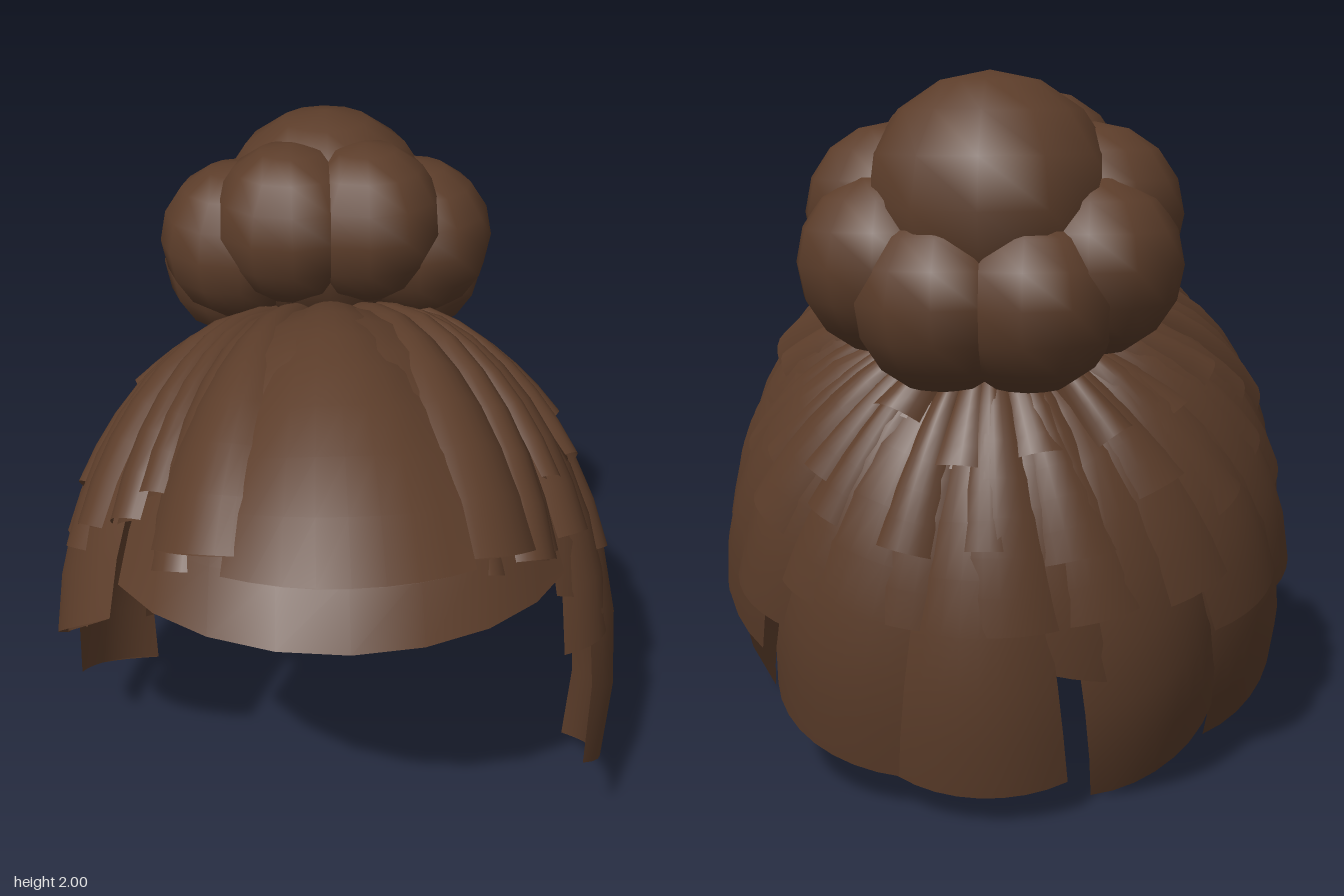
import * as THREE from 'three';
import { toCreasedNormals } from 'three/addons/utils/BufferGeometryUtils.js';

const rad = THREE.MathUtils.degToRad;
const lerp = THREE.MathUtils.lerp;

// the head the hair lies on, and the point every lock is gathered to
const HEAD = new THREE.Vector3(0, 0.5, 0);
const SIZE = new THREE.Vector3(0.86, 1.04, 0.93);
const ROOT = new THREE.Vector3(0, 1.35, -0.5).sub(HEAD).divide(SIZE);

const material = new THREE.MeshStandardMaterial({ color: 0x5c3d2a, side: THREE.DoubleSide });

// natural distance from the vertical axis at height y, in head units
const reach = (y, flare) => Math.sqrt(1 - ((y - HEAD.y) / SIZE.y) ** 2) * flare;

// point on the arc over the head from the root to a tip, flaring near the tip
function along(tip, t, lift) {
  const a = ROOT.clone().normalize();
  const b = tip.clone().normalize();
  const w = a.angleTo(b);
  const length = lerp(ROOT.length(), tip.length(), t ** 3) + lift;
  return a.multiplyScalar(Math.sin((1 - t) * w)).add(b.multiplyScalar(Math.sin(t * w)))
    .multiplyScalar(length / Math.sin(w)).multiply(SIZE).add(HEAD);
}

// a lens-section lock; its tip runs from corner A to B, each [azimuth in degrees, y, reach]
function lock(name, A, B, bulge, lift = 0) {
  const across = 8, down = 9, ring = across * 2;
  const positions = [], index = [];
  for (let j = 0; j <= down; j++) {
    const t = lerp(0.06, 1, j / down);
    for (let i = 0; i < ring; i++) {
      const outer = i <= across;
      const u = (outer ? i : ring - i) / across;
      const y = lerp(A[1], B[1], u);
      const az = rad(lerp(A[0], B[0], u));
      const r = lerp(A[2], B[2], u);
      const tip = new THREE.Vector3(Math.sin(az) * r, (y - HEAD.y) / SIZE.y, Math.cos(az) * r);
      const crown = 4 * u * (1 - u) * Math.min(1, t * 2.5);
      const p = along(tip, t, lift + crown * (outer ? bulge : bulge * 0.25) - bulge * 0.5);
      positions.push(p.x, p.y, p.z);
    }
  }
  for (let j = 0; j < down; j++) {
    for (let i = 0; i < ring; i++) {
      const a = j * ring + i, b = j * ring + (i + 1) % ring;
      index.push(a, a + ring, b, b, a + ring, b + ring);
    }
  }
  const geometry = new THREE.BufferGeometry();
  geometry.setAttribute('position', new THREE.Float32BufferAttribute(positions, 3));
  geometry.setIndex(index);
  const mesh = new THREE.Mesh(toCreasedNormals(geometry, 0.8), material);
  mesh.name = name;
  return mesh;
}

function ball(name, radius, x, y, z) {
  const mesh = new THREE.Mesh(new THREE.SphereGeometry(radius, 12, 8), material);
  mesh.name = name;
  mesh.position.set(x, y, z);
  return mesh;
}

// bun: a large ball in a tilted ring of eight smaller ones
function createBun() {
  const bun = new THREE.Group();
  bun.name = 'bun';
  bun.add(ball('bunCore', 0.355, 0, 1.645, -0.55));
  for (let i = 0; i < 8; i++) {
    const a = rad(22.5 + i * 45);
    const s = Math.sin(a);
    bun.add(ball('bunCurl', 0.25, Math.cos(a) * 0.3, 1.55 + s * 0.165, -0.535 + s * 0.175));
  }
  return bun;
}

// layered locks around the sides and back, tips higher toward the front
function createLayers() {
  const layers = new THREE.Group();
  layers.name = 'layers';
  let seed = 7;
  const jitter = () => (seed = (seed * 16807) % 2147483647) / 2147483647 - 0.5;
  const specs = [
    { name: 'lowerLayerLock', from: 64, step: 20, width: 25, y: 0.5, rise: 0.42, flare: 0.98, lift: 0.0 },
    { name: 'middleLayerLock', from: 46, step: 17, width: 17, y: 0.8, rise: 0.28, flare: 0.985, lift: 0.005 },
    { name: 'upperLayerLock', from: 32, step: 16, width: 14, y: 1.03, rise: 0.14, flare: 0.99, lift: 0.01 },
  ];
  for (const s of specs) {
    for (let az = s.from; az <= 360 - s.from; az += s.step) {
      const front = Math.max(0, Math.cos(rad(az)) + 0.25);
      const y = s.y + s.rise * front + jitter() * 0.24;
      const r = reach(y, s.flare + 0.07 * front);
      const half = s.width / 2 + jitter() * 4;
      const slant = Math.sin(rad(az)) * 0.07;
      const lift = s.lift + jitter() * 0.03;
      layers.add(lock(s.name, [az - half, y + slant, r], [az + half, y - slant, r], 0.055, lift));
    }
  }
  return layers;
}

export function createModel() {
  const hair = new THREE.Group();
  hair.name = 'hair';
  hair.add(createBun(), createLayers());
  hair.add(
    // fringe
    lock('lowerFringe', [-53, 0.99, 0.97], [53, 0.99, 0.97], 0.09),
    lock('upperFringe', [-24, 1.2, 0.98], [24, 1.2, 0.98], 0.055, 0.01),
    lock('rightFringeLock', [-44, 1.14, 0.9], [-20, 1.24, 0.92], 0.045, 0.01),
    lock('leftFringeLock', [20, 1.21, 0.92], [44, 1.11, 0.91], 0.045, 0.01),
    // sides
    lock('leftLongLock', [49, 0.38, 1.12], [85, -0.01, 0.93], 0.05),
    lock('leftTempleLock', [52, 0.9, 0.94], [84, 0.6, 0.98], 0.05),
    lock('leftSideLock', [84, 0.6, 0.99], [122, 0.32, 0.97], 0.06),
    lock('rightTempleLock', [-86, 0.48, 1.03], [-53, 0.88, 1.0], 0.06),
    lock('rightLongLock', [-118, 0.04, 0.84], [-86, 0.31, 1.0], 0.06),
    // back
    lock('rightBackLock', [-155, -0.02, 0.83], [-118, 0.21, 0.89], 0.06),
    lock('middleBackLock', [163, 0.09, 0.95], [197, 0.09, 0.95], 0.05),
    lock('leftBackLock', [125, 0.22, 0.93], [164, 0.09, 0.95], 0.05),
    lock('innerBackLock', [182, 0.46, 0.95], [212, 0.36, 0.95], 0.04),
  );
  return hair;
}
